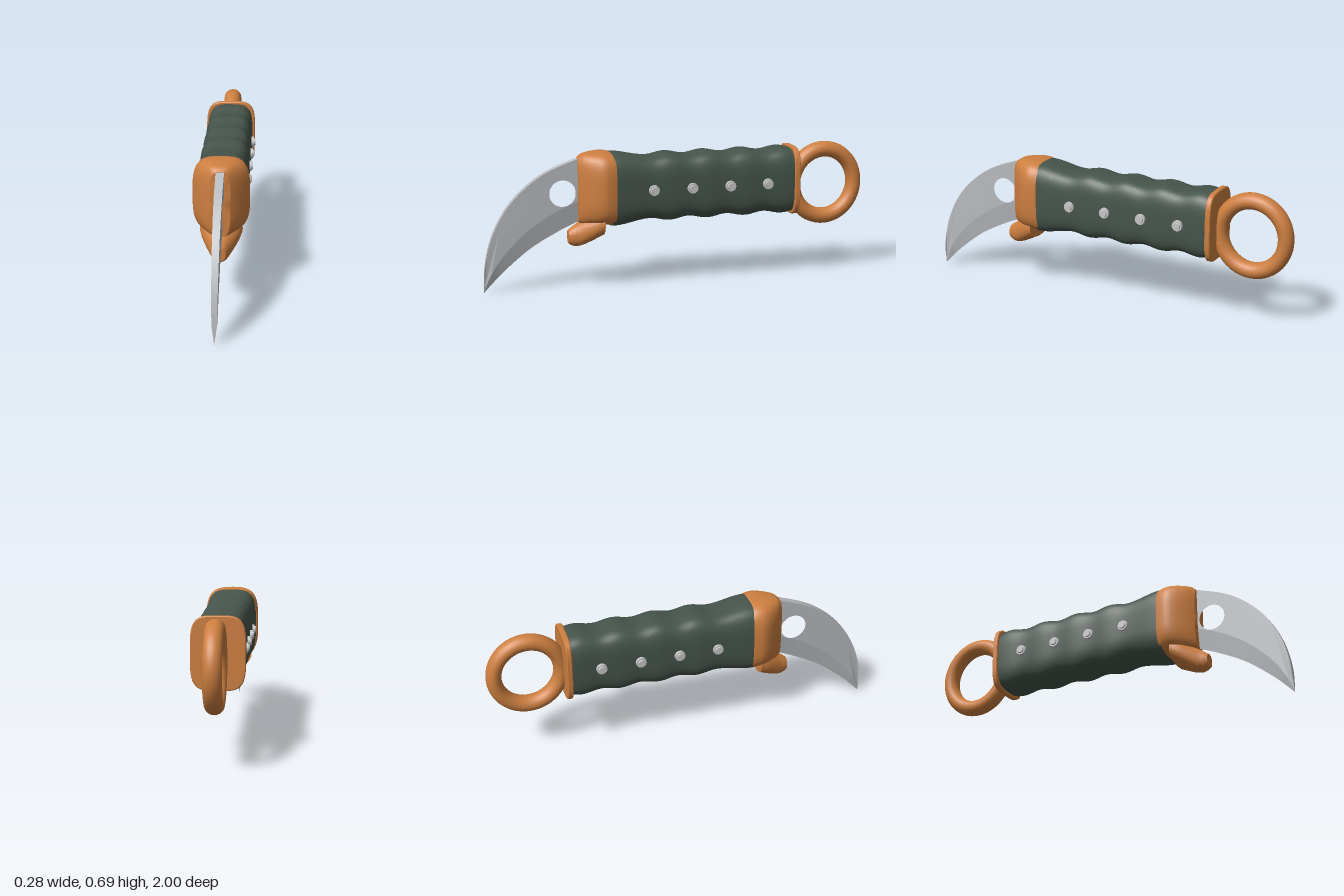
import * as THREE from 'three';
import { toCreasedNormals } from 'three/addons/utils/BufferGeometryUtils.js';

const steel = new THREE.MeshStandardMaterial({ name: 'blade steel', color: 0xb9bbbf });
const rivetMetal = new THREE.MeshStandardMaterial({ name: 'rivet metal', color: 0xc6c6c6 });
const copper = new THREE.MeshStandardMaterial({ name: 'copper', color: 0xcd7f40 });
const grip = new THREE.MeshStandardMaterial({ name: 'grip green', color: 0x46544b });

// Closed loft along z through superellipse sections [z, centreY, halfWidth, halfHeight].
function loft(sections, power, crease = 0.7) {
  const N = 56, pos = [], idx = [];
  const bend = (v) => Math.sign(v) * Math.pow(Math.abs(v), 2 / power);
  for (const [z, cy, hx, hy] of sections) {
    for (let j = 0; j < N; j++) {
      const a = (j / N) * Math.PI * 2;
      pos.push(hx * bend(Math.cos(a)), cy + hy * bend(Math.sin(a)), z);
    }
  }
  const last = sections.length - 1;
  const back = pos.length / 3, front = back + 1;
  pos.push(0, sections[0][1], sections[0][0], 0, sections[last][1], sections[last][0]);
  for (let j = 0; j < N; j++) {
    const k = (j + 1) % N;
    for (let i = 0; i < last; i++) {
      const a = i * N + j, b = i * N + k;
      idx.push(a, b, b + N, a, b + N, a + N);
    }
    idx.push(back, k, j, front, last * N + j, last * N + k);
  }
  const g = new THREE.BufferGeometry();
  g.setAttribute('position', new THREE.Float32BufferAttribute(pos, 3));
  g.setIndex(idx);
  return toCreasedNormals(g.toNonIndexed(), crease);
}

function smoothSections(rows, steps) {
  const curve = new THREE.CatmullRomCurve3(rows.map((r) => new THREE.Vector3(r[0], r[2], r[3])));
  const mid = new THREE.CatmullRomCurve3(rows.map((r) => new THREE.Vector3(r[0], r[1], 0)));
  return Array.from({ length: steps + 1 }, (_, i) => {
    const p = curve.getPoint(i / steps);
    return [p.x, mid.getPoint(i / steps).y, p.y, p.z];
  });
}

function createBlade() {
  const group = new THREE.Group();
  group.name = 'blade';
  const curve = (pts) => new THREE.SplineCurve(pts.map((p) => new THREE.Vector2(...p)));
  const n = 40;
  // Points are (z, y), running from the guard to the tip.
  const spine = curve([[0.44, 0.67], [0.52, 0.656], [0.705, 0.58], [0.855, 0.453],
    [0.946, 0.304], [0.99, 0.15], [1, 0]]).getPoints(n);
  const edge = curve([[0.44, 0.365], [0.52, 0.335], [0.625, 0.288], [0.76, 0.213],
    [0.89, 0.11], [0.96, 0.042], [1, 0]]).getPoints(n);
  const ridge = edge.map((e, i) => e.clone().lerp(spine[i], 0.33));
  const half = (y) => Math.max(0, Math.min(0.013 + 0.0127 * (y - 0.1), 0.14 * y));

  // Thick upper body with the round hole
  const shape = new THREE.Shape([...spine, ...ridge.slice(0, n).reverse()]);
  const hole = new THREE.Path();
  hole.absarc(0.598, 0.485, 0.067, 0, Math.PI * 2, true);
  shape.holes.push(hole);
  const body = new THREE.ExtrudeGeometry(shape, { depth: 1, bevelEnabled: false, curveSegments: 24 });
  body.rotateY(-Math.PI / 2);
  const p = body.attributes.position;
  for (let i = 0; i < p.count; i++) {
    const t = half(p.getY(i));
    p.setX(i, p.getX(i) < -0.5 ? -t : t);
  }
  const bodyMesh = new THREE.Mesh(toCreasedNormals(body, 0.5), steel);
  bodyMesh.name = 'bladeBody';
  group.add(bodyMesh);

  // Bevel narrowing to the cutting edge on both sides
  const pos = [];
  for (const s of [1, -1]) {
    for (let i = 0; i < n; i++) {
      const a = [0, edge[i].y, edge[i].x], b = [0, edge[i + 1].y, edge[i + 1].x];
      const c = [s * half(ridge[i + 1].y), ridge[i + 1].y, ridge[i + 1].x];
      const d = [s * half(ridge[i].y), ridge[i].y, ridge[i].x];
      if (s > 0) pos.push(...a, ...d, ...c, ...a, ...c, ...b);
      else pos.push(...a, ...c, ...d, ...a, ...b, ...c);
    }
  }
  const bevel = new THREE.BufferGeometry();
  bevel.setAttribute('position', new THREE.Float32BufferAttribute(pos, 3));
  const bevelMesh = new THREE.Mesh(toCreasedNormals(bevel, 0.15), steel);
  bevelMesh.name = 'bladeBevel';
  group.add(bevelMesh);
  return group;
}

export function createModel() {
  const model = new THREE.Group();
  model.name = 'curvedKnife';
  const add = (name, geometry, material) => {
    const mesh = new THREE.Mesh(geometry, material);
    mesh.name = name;
    model.add(mesh);
    return mesh;
  };
  model.add(createBlade());

  // Handle with finger grooves at each rivet
  const handle = [];
  for (let i = 0; i <= 72; i++) {
    const z = -0.6 + (i / 72) * 0.96;
    const wave = Math.cos(((z - 0.16) / 0.2) * Math.PI * 2);
    const flare = THREE.MathUtils.smoothstep(z, 0.16, 0.35);
    const groove = z > 0.16 ? 0.157 + 0.027 * flare : 0.1645 - 0.0075 * wave;
    handle.push([z, 0.497, 0.121 + 0.006 * z + 0.008 * flare - (z > 0.16 ? 0.002 : 0.002 * wave), groove]);
  }
  add('handle', loft(handle, 3.6), grip);

  // Guard: collar and tapering nose
  add('guard', loft(smoothSections([
    [0.345, 0.497, 0.132, 0.181], [0.365, 0.501, 0.136, 0.183], [0.4, 0.505, 0.138, 0.182],
    [0.43, 0.505, 0.127, 0.181], [0.47, 0.504, 0.1, 0.178], [0.5, 0.501, 0.073, 0.173],
    [0.52, 0.495, 0.05, 0.163]], 30), 3.5), copper);

  // Finger stop below the guard
  add('fingerStop', loft(smoothSections([
    [0.4, 0.33, 0.104, 0.066], [0.44, 0.312, 0.093, 0.068], [0.49, 0.285, 0.068, 0.065],
    [0.53, 0.266, 0.047, 0.056], [0.555, 0.261, 0.037, 0.045], [0.57, 0.26, 0.03, 0.034]], 20), 2.2), copper);

  // Pommel plate and ring
  add('pommelPlate', loft([[-0.619, 0.496, 0.127, 0.173], [-0.615, 0.496, 0.131, 0.177],
    [-0.595, 0.496, 0.131, 0.177], [-0.591, 0.496, 0.127, 0.173]], 4), copper);
  const ring = add('pommelRing', new THREE.TorusGeometry(0.169, 0.039, 20, 64), copper);
  ring.rotation.y = Math.PI / 2;
  ring.scale.set(1, 1.05, 1.15);
  ring.position.set(0, 0.464, -0.792);

  // Rivets on both sides
  for (const side of [1, -1]) {
    for (let i = 0; i < 4; i++) {
      const rivet = new THREE.Group();
      rivet.name = 'rivet';
      const washer = new THREE.Mesh(new THREE.CylinderGeometry(0.026, 0.029, 0.03, 24), rivetMetal);
      washer.name = 'rivetWasher';
      washer.position.y = 0.116;
      const cap = new THREE.Mesh(new THREE.CylinderGeometry(0.017, 0.02, 0.012, 24), rivetMetal);
      cap.name = 'rivetCap';
      cap.position.y = 0.132;
      rivet.add(washer, cap);
      rivet.rotation.z = -side * Math.PI / 2;
      rivet.position.set(0, 0.497, 0.155 - 0.2 * i);
      model.add(rivet);
    }
  }
  return model;
}
